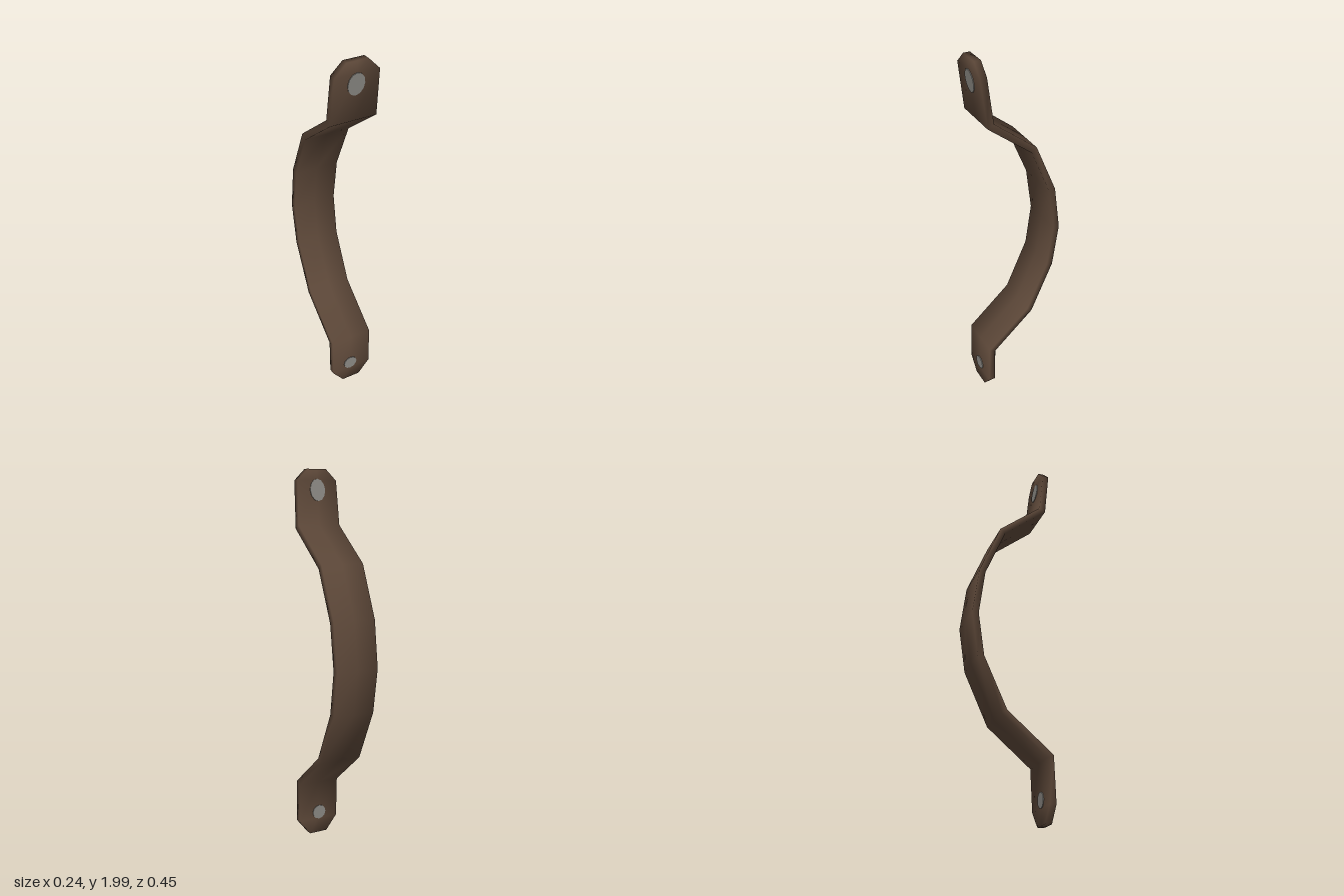
import * as THREE from 'three';

const SKEW = 0.04; // slight twist of the strap: z grows with x

// Centre line from top to bottom: [y, z, left edge, right edge]
const PATH = [
  [1.998, 0.203, -0.055, 0.05],
  [1.94, 0.205, -0.115, 0.108],
  [1.705, 0.178, -0.12, 0.117],
  [1.515, -0.055, -0.12, 0.116],
  [1.25, -0.167, -0.119, 0.115],
  [1.01, -0.2, -0.117, 0.115],
  [0.78, -0.167, -0.115, 0.115],
  [0.51, -0.043, -0.114, 0.117],
  [0.315, 0.193, -0.114, 0.117],
  [0.09, 0.2, -0.113, 0.117],
  [0.008, 0.2, -0.05, 0.052],
];

// Bent flat bar with softly shaded edges, six points per cross-section
function strapGeometry(half) {
  const pos = [], nor = [], idx = [];
  const points = PATH.map(([y, z]) => new THREE.Vector2(y, z));
  const last = points.length - 1;
  points.forEach((p, i) => {
    const a = points[Math.max(i - 1, 0)], b = points[Math.min(i + 1, last)];
    const d1 = p.clone().sub(i > 0 ? a : points[0]).normalize();
    const d2 = b.clone().sub(p).normalize();
    if (i === 0) d1.copy(d2);
    if (i === last) d2.copy(d1);
    const t = d1.clone().add(d2).normalize();
    const n = new THREE.Vector2(t.y, -t.x); // towards the front (y, z)
    const w = half / t.dot(d1); // mitre keeps the thickness even
    const [, , x0, x1] = PATH[i];
    const xm = (x0 + x1) / 2;
    const end = i === 0 ? 0.6 : i === last ? -0.6 : 0;
    for (const [x, f, s] of [[x0, 1, -1], [xm, 1, 0], [x1, 1, 1], [x1, -1, 1], [xm, -1, 0], [x0, -1, -1]]) {
      pos.push(x, p.x + n.x * w * f, p.y + n.y * w * f + SKEW * x);
      const v = new THREE.Vector3(s * 0.75, n.x * f + end, n.y * f - SKEW * x).normalize();
      nor.push(v.x, v.y, v.z);
    }
  });
  for (let i = 0; i < last; i++) {
    for (let k = 0; k < 6; k++) {
      const a = i * 6 + k, b = i * 6 + (k + 1) % 6;
      idx.push(a, a + 6, b, b, a + 6, b + 6);
    }
  }
  // End caps
  const e = last * 6;
  idx.push(0, 1, 4, 0, 4, 5, 1, 2, 3, 1, 3, 4);
  idx.push(e, e + 4, e + 1, e, e + 5, e + 4, e + 1, e + 3, e + 2, e + 1, e + 4, e + 3);
  const g = new THREE.BufferGeometry();
  g.setAttribute('position', new THREE.Float32BufferAttribute(pos, 3));
  g.setAttribute('normal', new THREE.Float32BufferAttribute(nor, 3));
  g.setIndex(idx);
  return g;
}

export function createModel() {
  const group = new THREE.Group();
  group.name = 'doorHandle';
  const brown = new THREE.MeshStandardMaterial({ color: 0x5c4738 });
  brown.name = 'dark bronze';
  const grey = new THREE.MeshStandardMaterial({ color: 0x8a8883 });
  grey.name = 'rivet grey';

  const strap = new THREE.Mesh(strapGeometry(0.017), brown);
  strap.name = 'strap';
  group.add(strap);

  // Rivets pass through both end plates and show on each side
  const rivet = (name, y, z, rx, ry, tilt) => {
    const m = new THREE.Mesh(new THREE.CylinderGeometry(1, 1, 0.041, 12), grey);
    m.name = name;
    m.scale.set(rx, 1, ry);
    m.rotation.order = 'YXZ';
    m.rotation.set(Math.PI / 2 + tilt, -SKEW, 0);
    m.position.set(-0.004, y, z);
    group.add(m);
  };
  rivet('topRivet', 1.89, 0.199, 0.043, 0.057, 0.114);
  rivet('bottomRivet', 0.128, 0.199, 0.039, 0.04, -0.03);
  return group;
}
